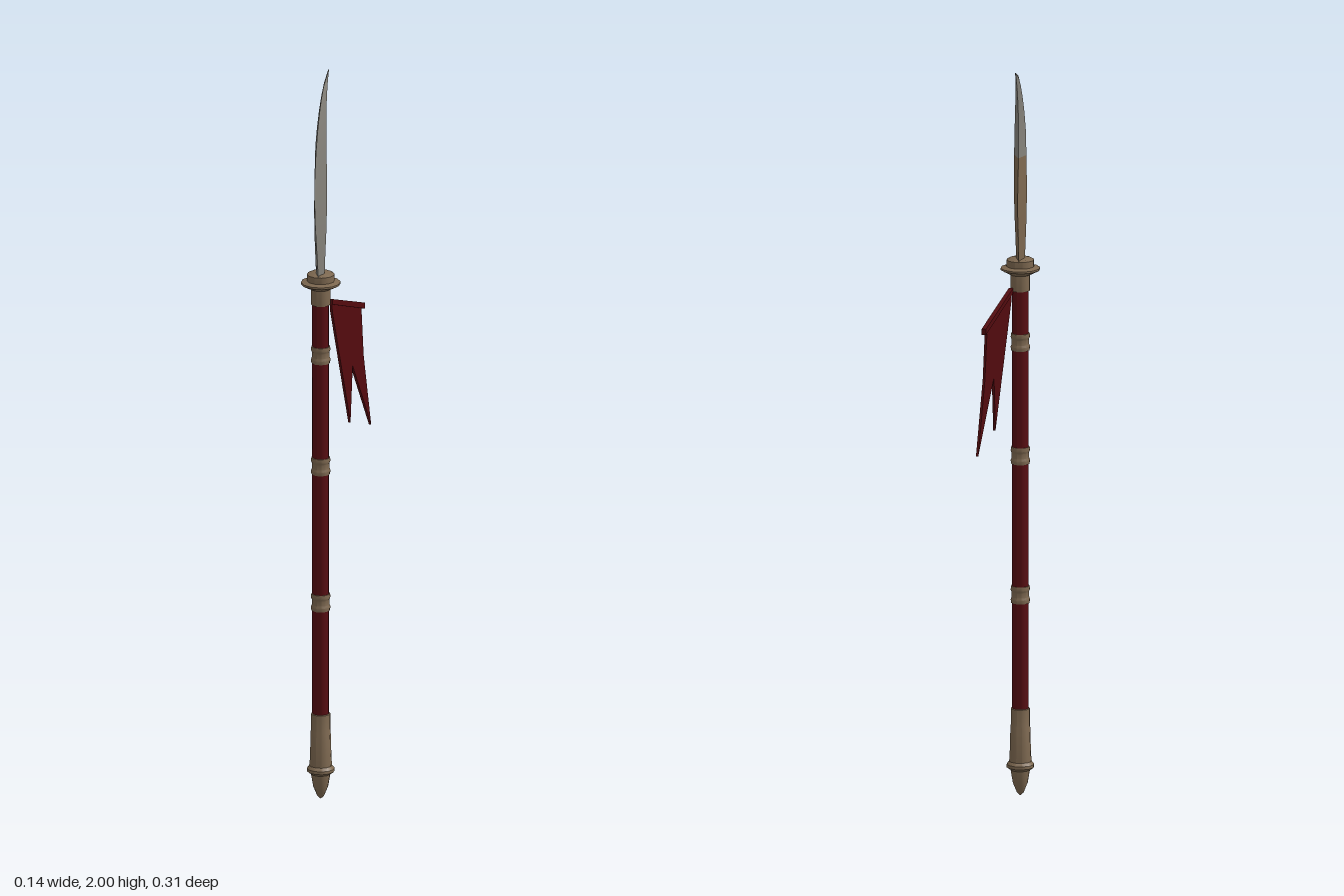
import * as THREE from 'three';
import { toCreasedNormals } from 'three/addons/utils/BufferGeometryUtils.js';

const AXIS_X = -0.02, AXIS_Z = 0.073;

export function createModel() {
  const model = new THREE.Group();
  const mat = (name, color, side = THREE.FrontSide) => {
    const m = new THREE.MeshStandardMaterial({ color, side });
    m.name = name;
    return m;
  };
  const steel = mat('steel', 0x85827a);
  const bronze = mat('bronze', 0x7d6850);
  const lacquer = mat('red lacquer', 0x560c11);
  const cloth = mat('red cloth', 0x520a0e, THREE.DoubleSide);

  const add = (name, geometry, material) => {
    const mesh = new THREE.Mesh(geometry, material);
    mesh.name = name;
    model.add(mesh);
    return mesh;
  };

  // Turned parts share the pole axis; profile is [radius, height] from the bottom up
  const turned = (name, profile, material) => {
    const points = profile.map(([r, y]) => new THREE.Vector2(r, y));
    const g = new THREE.LatheGeometry(points, 12, Math.PI / 12);
    add(name, toCreasedNormals(g, 0.6), material).position.set(AXIS_X, 0, AXIS_Z);
  };

  turned('pole', [[0.0225, 0.2], [0.0225, 1.4]], lacquer);

  turned('pommel', [
    [0, 0], [0.009, 0.008], [0.02, 0.035], [0.026, 0.07], [0.037, 0.078], [0.037, 0.086],
    [0.03, 0.094], [0.0285, 0.12], [0.0265, 0.19], [0.0255, 0.195], [0.0255, 0.238], [0.02, 0.24],
  ], bronze);

  // Bands around the pole
  for (const y of [0.55, 0.93, 1.24]) {
    turned('poleBand', [
      [0.02, y - 0.023], [0.025, y - 0.023], [0.026, y - 0.013], [0.0235, y - 0.007],
      [0.0235, y + 0.007], [0.026, y + 0.013], [0.025, y + 0.023], [0.02, y + 0.023],
    ], bronze);
  }

  turned('guard', [
    [0.02, 1.38], [0.026, 1.38], [0.026, 1.423], [0.04, 1.43], [0.053, 1.437], [0.053, 1.442],
    [0.037, 1.446], [0.037, 1.464], [0.03, 1.468], [0, 1.468],
  ], bronze);

  // Blade cross-sections: [height, front edge z, back edge z, ridge z, half thickness]
  const stations = [
    [1.45, 0.104, 0.039, 0.078, 0.011],
    [1.53, 0.123, 0.027, 0.079, 0.014],
    [1.58, 0.137, 0.016, 0.078, 0.016],
    [1.63, 0.15, 0.009, 0.076, 0.017],
    [1.69, 0.157, 0.02, 0.075, 0.017],
    [1.75, 0.156, 0.031, 0.072, 0.0165],
    [1.82, 0.139, 0.032, 0.07, 0.015],
    [1.87, 0.118, 0.027, 0.06, 0.0125],
    [1.91, 0.095, 0.016, 0.046, 0.01],
    [1.947, 0.066, 0, 0.025, 0.0075],
    [1.975, 0.032, -0.017, 0.002, 0.005],
    [2.0, -0.035, -0.037, -0.036, 0.001],
  ];
  const rings = stations.map(([y, front, back, ridge, h]) => [
    [AXIS_X, y, front], [AXIS_X + h, y, ridge], [AXIS_X, y, back], [AXIS_X - h, y, ridge],
  ]);
  const steelFaces = [], bronzeFaces = [];
  for (let i = 0; i < rings.length - 1; i++) {
    for (let j = 0; j < 4; j++) {
      const k = (j + 1) % 4;
      const a = rings[i][j], b = rings[i][k], c = rings[i + 1][k], d = rings[i + 1][j];
      const onLowerBack = i < 5 && (j === 1 || j === 2);
      (onLowerBack ? bronzeFaces : steelFaces).push(...a, ...b, ...c, ...a, ...c, ...d);
    }
  }
  const surface = (faces) => {
    const g = new THREE.BufferGeometry();
    g.setAttribute('position', new THREE.Float32BufferAttribute(faces, 3));
    return toCreasedNormals(g, 0.3);
  };
  add('blade', surface(steelFaces), steel);
  add('bladeBackInlay', surface(bronzeFaces), bronze);

  // Swallow-tailed cloth, outlined as [z, y], then leaned outward away from the pole
  const clothPiece = (name, outline, depth) => {
    const shape = new THREE.Shape(outline.map(([z, y]) => new THREE.Vector2(-z, y)));
    const g = new THREE.ExtrudeGeometry(shape, { depth, bevelEnabled: false });
    g.translate(0, 0, -depth / 2).rotateY(Math.PI / 2);
    const p = g.attributes.position;
    for (let i = 0; i < p.count; i++) {
      const y = p.getY(i), z = p.getZ(i);
      p.setX(i, p.getX(i) + 0.009 + (0.03 - z) * 0.25 + (1.38 - y) * 0.035);
    }
    g.computeVertexNormals();
    add(name, g, cloth);
  };
  clothPiece('pennant', [
    [0.053, 1.385], [0.052, 1.355], [-0.032, 1.02], [-0.057, 1.17],
    [-0.154, 0.977], [-0.124, 1.18], [-0.121, 1.318],
  ], 0.006);
  clothPiece('pennantHem', [
    [0.055, 1.39], [0.055, 1.375], [-0.136, 1.306], [-0.138, 1.322],
  ], 0.012);

  return model;
}
